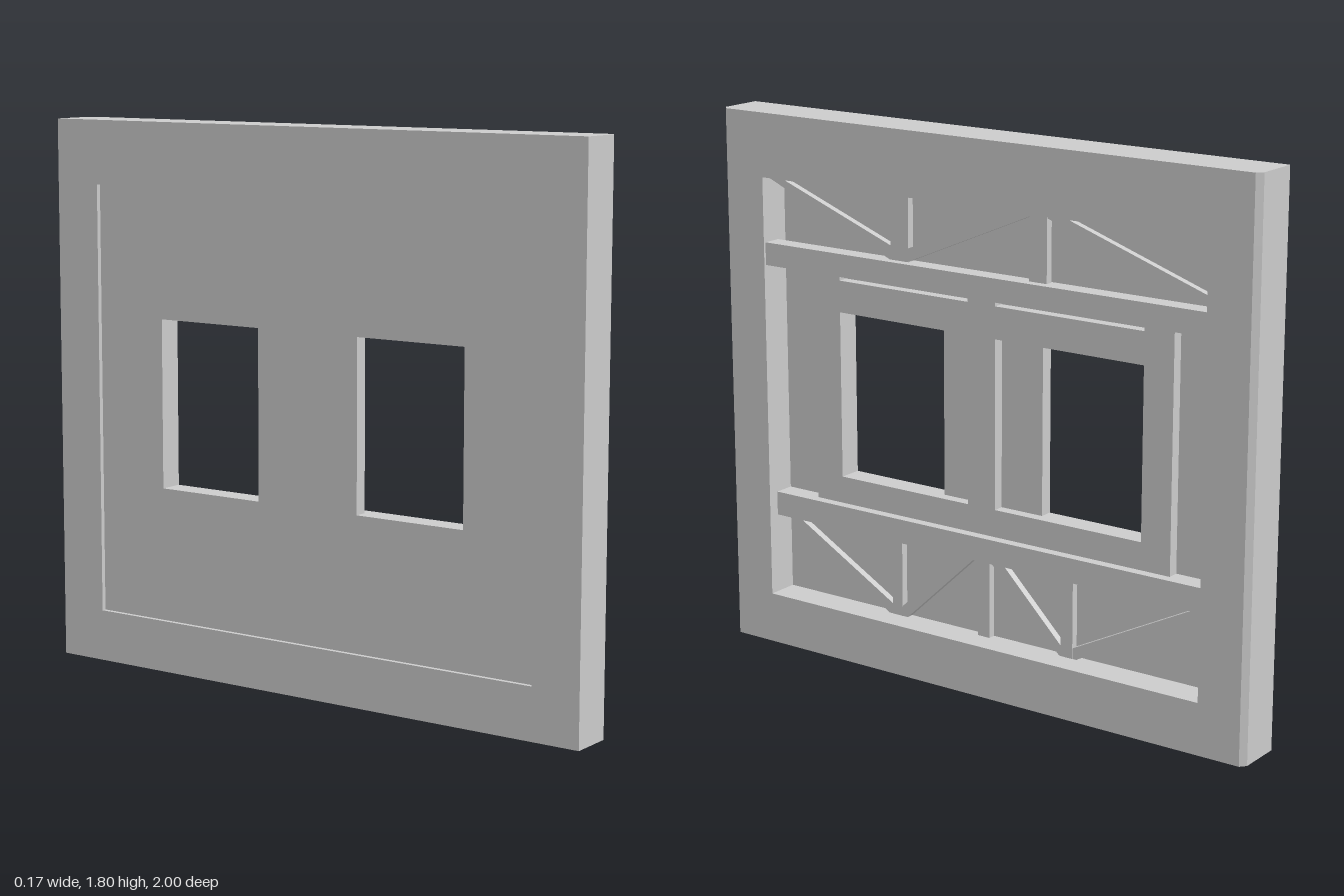
import * as THREE from 'three';

const material = new THREE.MeshStandardMaterial({ color: 0xcccccc, flatShading: true });

// Depth levels along x
const BACK = -0.083, FACE = 0.083;
const PANEL_BACK = -0.068, PANEL_FACE = -0.025, LINING_FACE = 0.012;
// Opening of the outer frame
const Z = 0.835, Y0 = 0.17, Y1 = 1.59;

const rect = (z0, z1, y0, y1) => [[z0, y0], [z1, y0], [z1, y1], [z0, y1]];
const toPoints = (pts) => pts.map(([a, b]) => new THREE.Vector2(a, b));

export function createModel() {
  const model = new THREE.Group();

  const add = (parent, name, geometry) => {
    const mesh = new THREE.Mesh(geometry, material);
    mesh.name = name;
    parent.add(mesh);
  };
  const group = (name) => {
    const g = new THREE.Group();
    g.name = name;
    model.add(g);
    return g;
  };

  // Outline in (z, y), extruded along x from x0 to x1
  const slab = (parent, name, outline, x0, x1, holes = []) => {
    const shape = new THREE.Shape(toPoints(outline));
    holes.forEach((h) => shape.holes.push(new THREE.Path(toPoints(h))));
    const g = new THREE.ExtrudeGeometry(shape, { depth: x1 - x0, bevelEnabled: false });
    g.rotateY(-Math.PI / 2).translate(x1, 0, 0);
    add(parent, name, g);
  };

  // Plan section in (x, -z), extruded upward from y0 to y1
  const column = (parent, name, section, y0, y1) => {
    const g = new THREE.ExtrudeGeometry(new THREE.Shape(toPoints(section)), { depth: y1 - y0, bevelEnabled: false });
    g.rotateX(-Math.PI / 2).translate(0, y0, 0);
    add(parent, name, g);
  };

  // Outer frame with chamfered vertical front edges
  const frame = group('outerFrame');
  const cx = FACE - 0.02, cz = 0.983;
  const full = [[BACK, -1], [cx, -1], [FACE, -cz], [FACE, cz], [cx, 1], [BACK, 1]];
  column(frame, 'bottomRail', full, 0, Y0);
  column(frame, 'topRail', full, Y1, 1.8);
  for (const s of [1, -1]) {
    const stile = [[BACK, s * Z], [FACE, s * Z], [FACE, s * cz], [cx, s], [BACK, s]];
    column(frame, 'sideStile', stile, Y0, Y1);
  }

  // Recessed back panel with two window openings
  slab(model, 'backPanel', rect(-Z, Z, Y0, Y1), PANEL_BACK, PANEL_FACE,
    [rect(0.19, 0.58, 0.61, 1.165), rect(-0.58, -0.19, 0.61, 1.165)]);

  // Window lining: wider openings, plus slots above the head rail
  const bays = [[0.07, 0.58], [-0.58, -0.035]];
  const holes = bays.flatMap(([a, b]) => [rect(a, b, 0.61, 1.165), rect(a, b, 1.27, 1.32)]);
  slab(model, 'windowLining', rect(-0.685, 0.685, 0.48, 1.34), PANEL_FACE, LINING_FACE, holes);

  // Horizontal beams
  slab(model, 'upperBeam', rect(-Z, Z, 1.3, 1.375), LINING_FACE, 0.075);
  slab(model, 'lowerBeam', rect(-Z, Z, 0.44, 0.52), PANEL_FACE, 0.045);

  // Upper truss
  const upper = group('upperTruss');
  [[0.275, 0.345], [-0.25, -0.185]].forEach(([a, b]) =>
    slab(upper, 'upperPost', rect(a, b, 1.375, Y1), 0.02, 0.045));
  [
    [[0.835, 1.59], [0.8, 1.59], [0.345, 1.42], [0.31, 1.375], [0.35, 1.375], [0.835, 1.58]],
    [[0.31, 1.375], [0.28, 1.375], [-0.185, 1.575], [-0.185, 1.59], [-0.16, 1.59], [0.275, 1.42]],
    [[-0.25, 1.59], [-0.3, 1.59], [-0.835, 1.41], [-0.835, 1.375], [-0.25, 1.577]],
  ].forEach((p) => slab(upper, 'upperBrace', p, 0.021, 0.044));

  // Lower truss
  const lower = group('lowerTruss');
  [[0.345, 0.385], [-0.005, 0.04], [-0.325, -0.28]].forEach(([a, b]) =>
    slab(lower, 'lowerPost', rect(a, b, Y0, 0.44), PANEL_FACE, 0));
  [
    [[0.835, 0.44], [0.8, 0.44], [0.385, 0.205], [0.365, 0.17], [0.4, 0.17], [0.835, 0.43]],
    [[0.365, 0.17], [0.325, 0.17], [0.045, 0.435], [0.045, 0.44], [0.085, 0.44], [0.345, 0.205]],
    [[-0.005, 0.44], [-0.045, 0.44], [-0.28, 0.205], [-0.3, 0.17], [-0.275, 0.17], [-0.005, 0.43]],
    [[-0.3, 0.17], [-0.34, 0.17], [-0.835, 0.43], [-0.835, 0.44], [-0.79, 0.44], [-0.325, 0.205]],
  ].forEach((p) => slab(lower, 'lowerBrace', p, PANEL_FACE, -0.001));

  return model;
}
